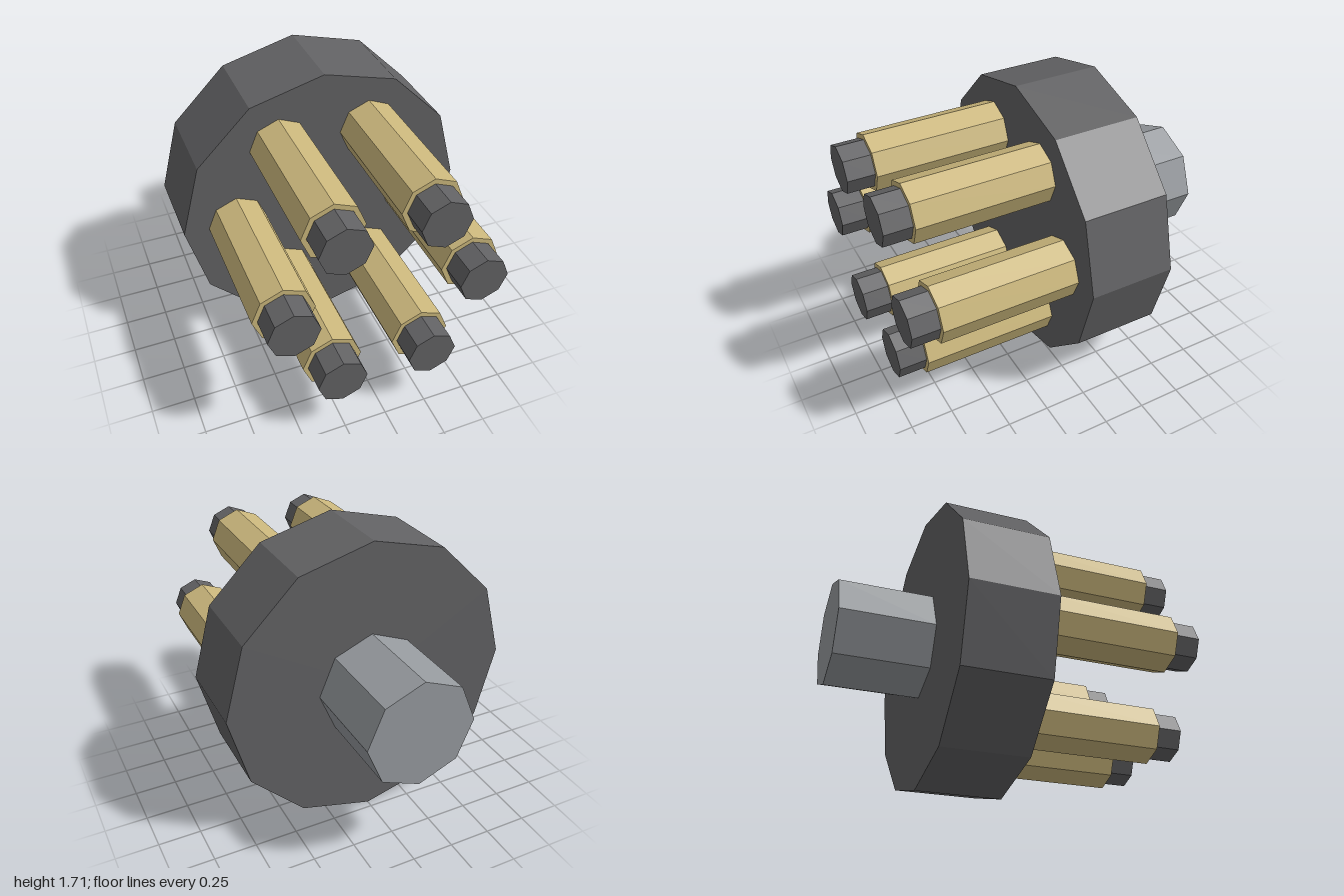
import * as THREE from 'three';

const CENTER_Y = 0.857;

export function createModel() {
  const model = new THREE.Group();
  const material = (name, color) => {
    const m = new THREE.MeshStandardMaterial({ color, flatShading: true });
    m.name = name;
    return m;
  };
  const darkGrey = material('dark grey', 0x626264);
  const brass = material('brass', 0xcbb77c);
  const steel = material('steel grey', 0x979b9f);

  // Faceted cylinder lying along z, from z0 to z1
  const prism = (name, radius, sides, z0, z1, mat, parent) => {
    const geo = new THREE.CylinderGeometry(radius, radius, z1 - z0, sides);
    geo.rotateX(Math.PI / 2);
    const mesh = new THREE.Mesh(geo, mat);
    mesh.name = name;
    mesh.position.z = (z0 + z1) / 2;
    parent.add(mesh);
    return mesh;
  };

  // Main disc and rear shaft
  prism('disc', 0.857, 12, -0.458, 0.047, darkGrey, model).position.y = CENTER_Y;
  prism('rearShaft', 0.318, 8, -1, -0.458, steel, model).position.y = CENTER_Y;

  // Ring of six pins, each a sleeve with a narrower tip
  for (let i = 0; i < 6; i++) {
    const a = (i * Math.PI) / 3;
    const pin = new THREE.Group();
    pin.name = `pin${i + 1}`;
    pin.position.set(0.538 * Math.cos(a), CENTER_Y + 0.538 * Math.sin(a), 0);
    prism('sleeve', 0.173, 8, 0.047, 0.842, brass, pin);
    prism('tip', 0.143, 8, 0.842, 1, darkGrey, pin);
    model.add(pin);
  }
  return model;
}
